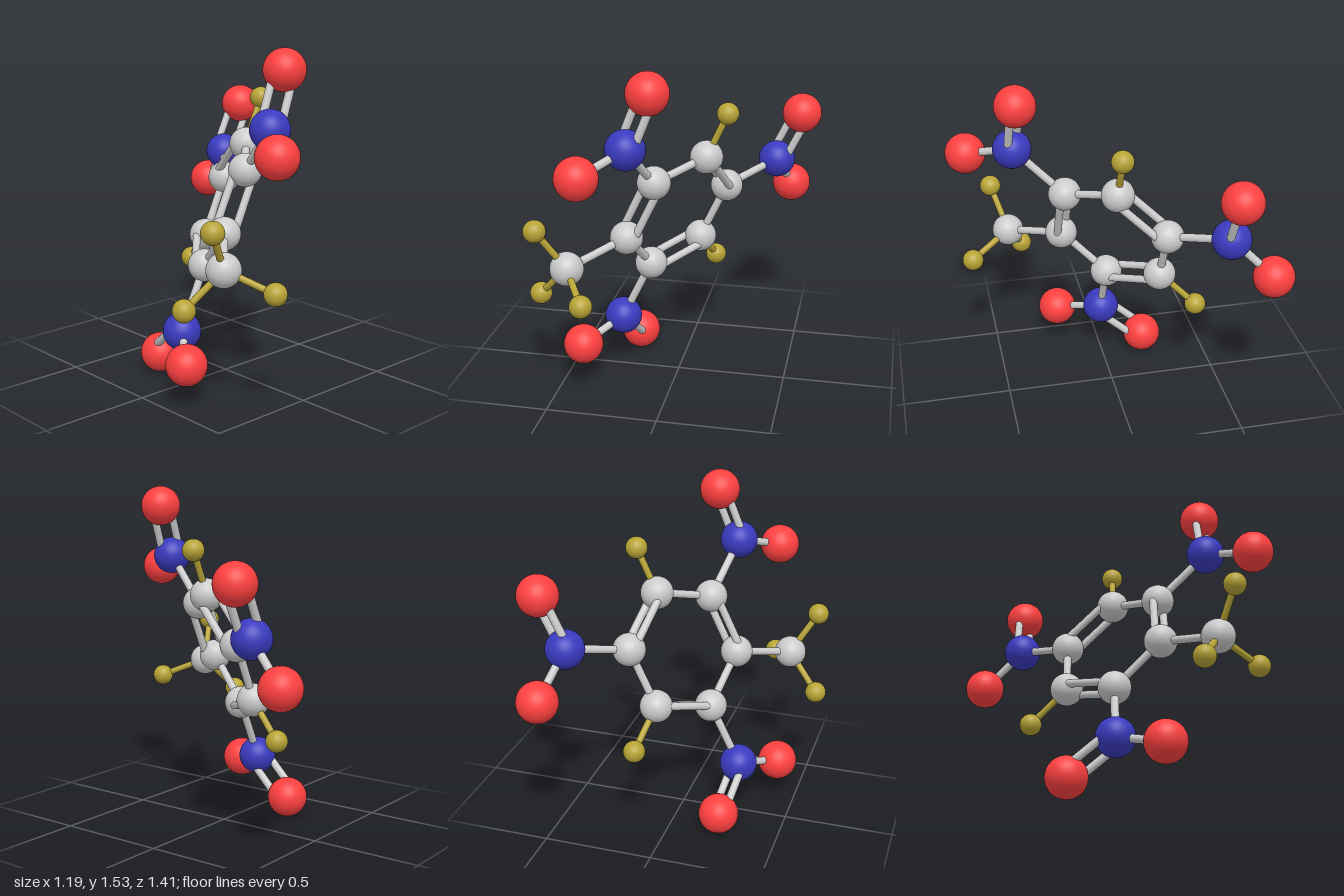
import * as THREE from 'three';

const grey = new THREE.MeshStandardMaterial({ color: 0xcccccc });
const blue = new THREE.MeshStandardMaterial({ color: 0x3a3ac0 });
const red = new THREE.MeshStandardMaterial({ color: 0xff4040 });
const gold = new THREE.MeshStandardMaterial({ color: 0xb8a436 });

// Atom kinds: radius and material
const kinds = {
  carbon: { radius: 0.074, material: grey },
  nitrogen: { radius: 0.086, material: blue },
  oxygen: { radius: 0.091, material: red },
  hydrogen: { radius: 0.049, material: gold },
};

// Atom centres
const atoms = {
  ring1: ['carbon', -0.195, 0.73, 0.2],
  ring2: ['carbon', -0.07, 0.992, 0.2],
  ring3: ['carbon', 0.125, 1.06, 0],
  ring4: ['carbon', 0.185, 0.865, -0.21],
  ring5: ['carbon', 0.063, 0.605, -0.21],
  ring6: ['carbon', -0.13, 0.535, 0],
  methyl: ['carbon', -0.404, 0.657, 0.425],
  methylH1: ['hydrogen', -0.52, 0.843, 0.488],
  methylH2: ['hydrogen', -0.55, 0.498, 0.347],
  methylH3: ['hydrogen', -0.292, 0.573, 0.61],
  ringH3: ['hydrogen', 0.218, 1.262, 0],
  ringH5: ['hydrogen', 0.113, 0.452, -0.37],
  upperN: ['nitrogen', -0.14, 1.2, 0.418],
  upperO1: ['oxygen', -0.047, 1.437, 0.407],
  upperO2: ['oxygen', -0.293, 1.13, 0.612],
  sideN: ['nitrogen', 0.39, 0.937, -0.435],
  sideO1: ['oxygen', 0.502, 1.167, -0.435],
  sideO2: ['oxygen', 0.447, 0.765, -0.615],
  lowerN: ['nitrogen', -0.266, 0.255, 0],
  lowerO1: ['oxygen', -0.409, 0.186, 0.196],
  lowerO2: ['oxygen', -0.228, 0.092, -0.2],
};

// Bonds: from, to, order
const bonds = [
  ['ring1', 'ring2', 2], ['ring2', 'ring3', 1], ['ring3', 'ring4', 2],
  ['ring4', 'ring5', 1], ['ring5', 'ring6', 2], ['ring6', 'ring1', 1],
  ['ring1', 'methyl', 1], ['methyl', 'methylH1', 1], ['methyl', 'methylH2', 1],
  ['methyl', 'methylH3', 1], ['ring3', 'ringH3', 1], ['ring5', 'ringH5', 1],
  ['ring2', 'upperN', 1], ['upperN', 'upperO1', 2], ['upperN', 'upperO2', 1],
  ['ring4', 'sideN', 1], ['sideN', 'sideO1', 2], ['sideN', 'sideO2', 1],
  ['ring6', 'lowerN', 1], ['lowerN', 'lowerO1', 1], ['lowerN', 'lowerO2', 2],
];

const centre = (name) => new THREE.Vector3(...atoms[name].slice(1));

// Round rod between two points
function rod(a, b, radius, material, name) {
  const along = b.clone().sub(a);
  const mesh = new THREE.Mesh(new THREE.CylinderGeometry(radius, radius, along.length(), 20), material);
  mesh.position.copy(a).lerp(b, 0.5);
  mesh.quaternion.setFromUnitVectors(new THREE.Vector3(0, 1, 0), along.normalize());
  mesh.name = name;
  return mesh;
}

export function createModel() {
  const model = new THREE.Group();
  model.name = 'molecule';

  // Atoms
  for (const [name, [kind, x, y, z]] of Object.entries(atoms)) {
    const { radius, material } = kinds[kind];
    const ball = new THREE.Mesh(new THREE.SphereGeometry(radius, 40, 28), material);
    ball.position.set(x, y, z);
    ball.name = `${name} ${kind}Atom`;
    model.add(ball);
  }

  // Bonds; the two rods of a double bond sit either side of the ring plane
  const normal = new THREE.Vector3(-0.73, 0.35, -0.585).normalize();
  for (const [from, to, order] of bonds) {
    const toHydrogen = atoms[to][0] === 'hydrogen';
    const offsets = order === 2 ? [-0.042, 0.042] : [0];
    for (const offset of offsets) {
      const a = centre(from).addScaledVector(normal, offset);
      const b = centre(to).addScaledVector(normal, offset);
      model.add(rod(a, b, toHydrogen ? 0.015 : 0.018, toHydrogen ? gold : grey, `${from} to ${to} bond`));
    }
  }
  return model;
}
